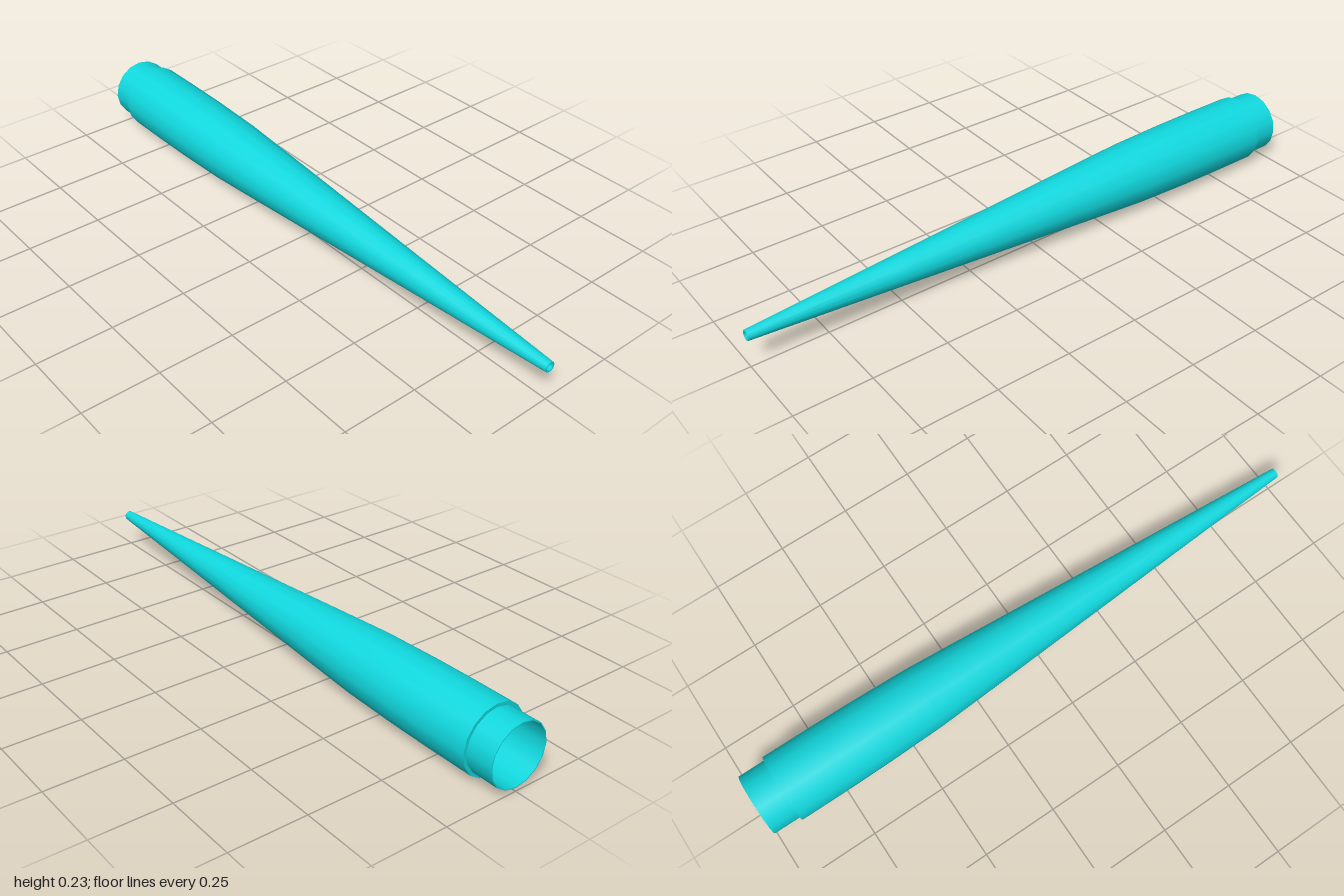
import * as THREE from 'three';

const SIDES = 16;
const RADIUS = 0.114;

export function createModel() {
  const group = new THREE.Group();
  group.name = 'taperedTube';
  const material = new THREE.MeshStandardMaterial({ color: 0x10d8de, side: THREE.DoubleSide });

  // Turn a [radius, z] profile around the long axis
  const addTurned = (name, profile) => {
    const points = profile.map(([r, z]) => new THREE.Vector2(r, z));
    const mesh = new THREE.Mesh(new THREE.LatheGeometry(points, SIDES), material);
    mesh.name = name;
    mesh.rotation.x = Math.PI / 2;
    mesh.position.y = RADIUS;
    group.add(mesh);
  };

  // Long body swelling from the tip to the shoulder
  const body = [
    [RADIUS, -0.91], [RADIUS, -0.75], [0.1125, -0.6], [0.107, -0.4], [0.0945, -0.2],
    [0.0815, 0], [0.0685, 0.2], [0.049, 0.5], [0.017, 1],
  ];
  addTurned('outerBody', body);

  // Narrower plug-in collar at the back and its step
  addTurned('shoulder', [[0.103, -0.91], [RADIUS, -0.91]]);
  addTurned('collar', [[0.103, -1], [0.103, -0.91]]);

  // Hollow inside with thin rims at both ends
  const bore = body.slice(2, -1).reverse().map(([r, z]) => [Math.min(r - 0.005, 0.1), z]);
  addTurned('bore', [[0.0125, 1], ...bore, [0.1, -1]]);
  addTurned('tipRim', [[0.017, 1], [0.0125, 1]]);
  addTurned('backRim', [[0.1, -1], [0.103, -1]]);

  return group;
}
